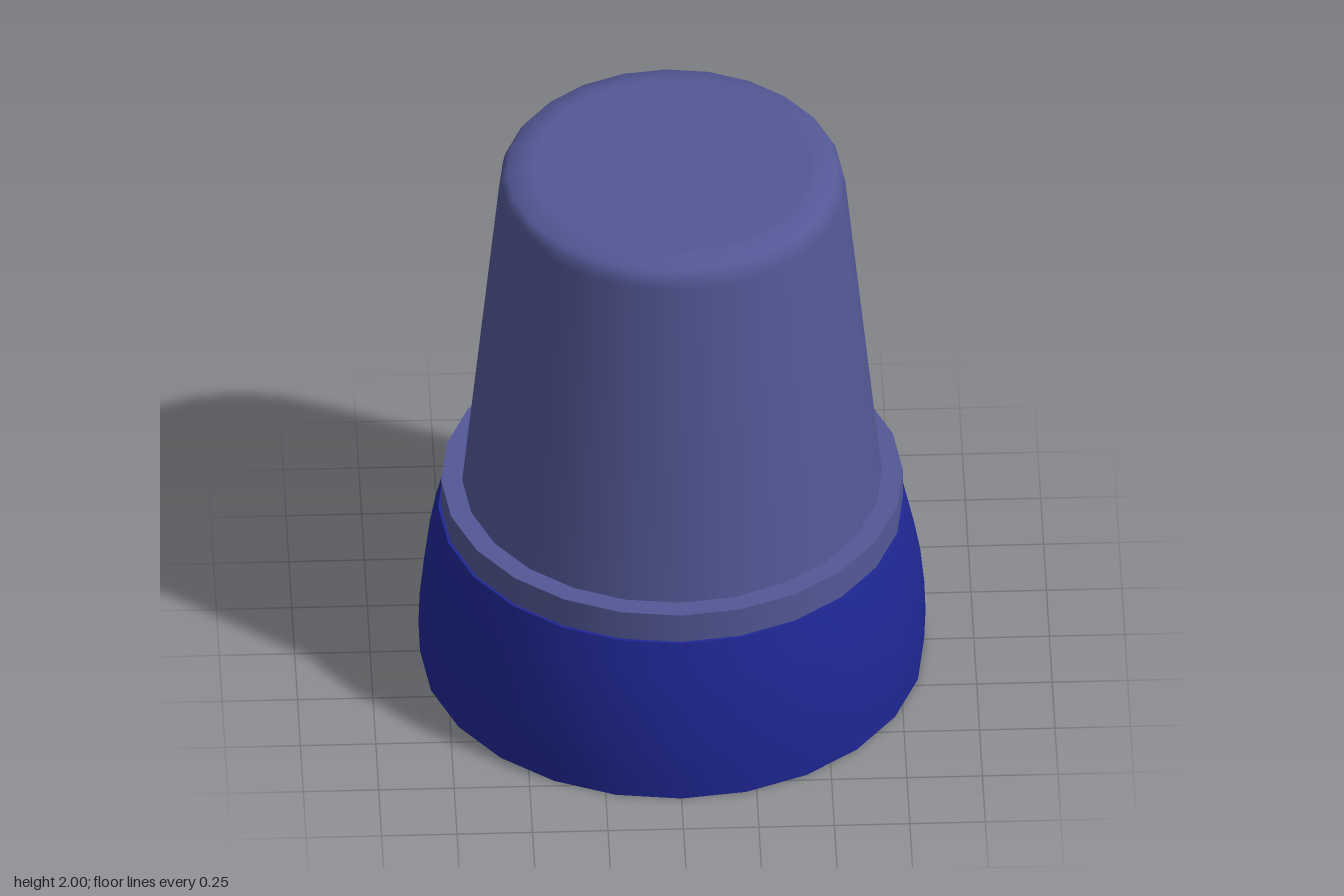
import * as THREE from 'three';

const SIDES = 24;
const blue = new THREE.MeshStandardMaterial({ color: 0x1f2794, side: THREE.DoubleSide });
const paleBlue = new THREE.MeshStandardMaterial({ color: 0x535896, side: THREE.DoubleSide });

// Turns a profile of [radius, height] points into a named part
function turned(name, profile, material) {
  const points = profile.map(([r, y]) => new THREE.Vector2(r, y));
  const mesh = new THREE.Mesh(new THREE.LatheGeometry(points, SIDES), material);
  mesh.name = name;
  return mesh;
}

export function createModel() {
  const model = new THREE.Group();
  model.name = 'cappedCollar';

  // Bulging collar, open at the bottom
  model.add(turned('collar', [
    [0.835, 0], [0.84, 0.12], [0.836, 0.24], [0.822, 0.38], [0.802, 0.49], [0.775, 0.6],
  ], blue));

  // Inward lip at the collar's top, and the hollow sleeve rising from it
  model.add(turned('collarLip', [[0.775, 0.6], [0.6, 0.6]], blue));
  model.add(turned('innerSleeve', [[0.6, 0.6], [0.5, 1.85]], blue));
  model.add(turned('sleeveEnd', [[0.5, 1.85], [0, 1.85]], blue));

  // Flange of the cap: crisp wall and flat top
  model.add(turned('flangeWall', [[0.765, 0.6], [0.765, 0.71]], paleBlue));
  model.add(turned('flangeTop', [[0.765, 0.71], [0.69, 0.71]], paleBlue));

  // Tapered cap with a rounded top edge
  model.add(turned('cap', [
    [0.695, 0.71], [0.574, 1.92], [0.566, 1.955], [0.548, 1.982], [0.49, 2], [0.46, 2], [0, 2],
  ], paleBlue));

  return model;
}
